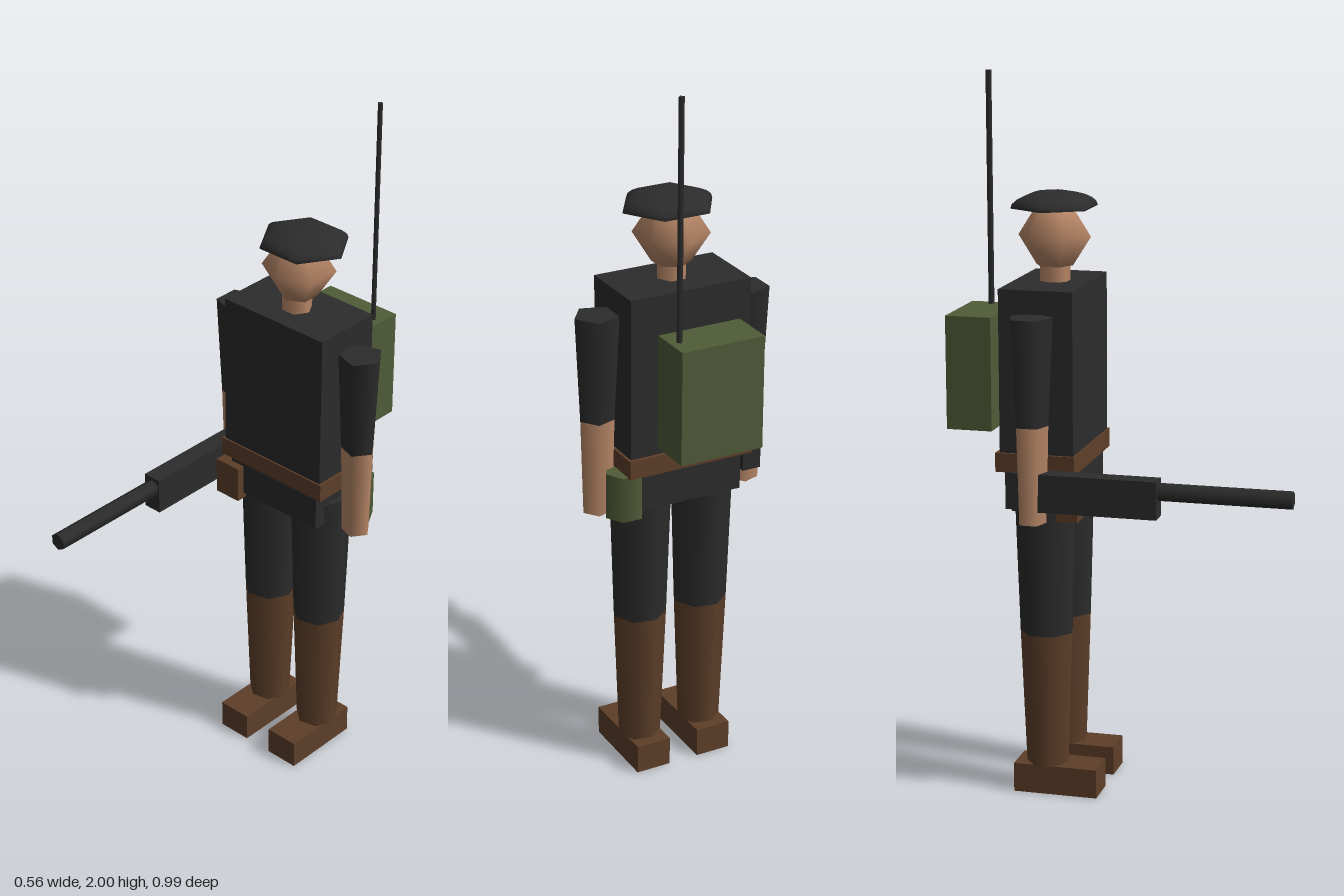
import * as THREE from 'three';

const mat = (name, color, extra = {}) => {
  const m = new THREE.MeshStandardMaterial({ color, ...extra });
  m.name = name;
  return m;
};

export function createModel() {
  const model = new THREE.Group();
  const dark = mat('darkCloth', 0x2c2c2c, { side: THREE.DoubleSide });
  const skin = mat('skin', 0xb98868);
  const brown = mat('leather', 0x5e3f29);
  const green = mat('canvasGreen', 0x505c38);

  const add = (name, geometry, material, x = 0, y = 0, z = 0) => {
    const mesh = new THREE.Mesh(geometry, material);
    mesh.name = name;
    mesh.position.set(x, y, z);
    model.add(mesh);
    return mesh;
  };
  // Box given by its limits on each axis
  const box = (name, material, [x0, x1], [y0, y1], [z0, z1]) =>
    add(name, new THREE.BoxGeometry(x1 - x0, y1 - y0, z1 - z0), material,
      (x0 + x1) / 2, (y0 + y1) / 2, (z0 + z1) / 2);
  // Upright tapered prism with one corner pointing to +x
  const limb = (name, material, sides, rTop, rBottom, [y0, y1], x, z) =>
    add(name, new THREE.CylinderGeometry(rTop, rBottom, y1 - y0, sides).rotateY(Math.PI / 2),
      material, x, (y0 + y1) / 2, z);

  // Body
  box('torso', dark, [-0.185, 0.17], [0.95, 1.44], [-0.327, -0.12]);
  box('pelvis', dark, [-0.168, 0.152], [0.827, 0.95], [-0.318, -0.128]);
  box('belt', brown, [-0.193, 0.178], [0.937, 0.99], [-0.338, -0.115]);

  // Head, neck and cap
  limb('neck', skin, 6, 0.043, 0.043, [1.43, 1.49], -0.007, -0.218);
  const headProfile = [[0, -0.093], [0.052, -0.08], [0.103, 0], [0.052, 0.08], [0, 0.093]]
    .map(([r, y]) => new THREE.Vector2(r, y));
  add('head', new THREE.LatheGeometry(headProfile, 6), skin, -0.004, 1.563, -0.22);
  const cap = new THREE.SphereGeometry(0.132, 6, 6, 0, Math.PI * 2, 0, Math.PI / 2);
  add('cap', cap.scale(1, 0.34, 0.92), dark, 0.009, 1.64, -0.224);

  // Arms
  for (const [side, x] of [['left', 0.219], ['right', -0.231]]) {
    limb(side + 'Sleeve', dark, 5, 0.062, 0.048, [1.08, 1.375], x, -0.225);
    limb(side + 'Forearm', skin, 5, 0.048, 0.041, [0.81, 1.08], x, -0.225);
  }

  // Legs
  for (const [side, x] of [['left', 0.09], ['right', -0.1]]) {
    limb(side + 'Trouser', dark, 7, 0.089, 0.076, [0.467, 0.89], x, -0.22);
    limb(side + 'BootShaft', brown, 7, 0.076, 0.061, [0.08, 0.467], x, -0.22);
    const footX = x - 0.003;
    box(side + 'Foot', brown, [footX - 0.051, footX + 0.051], [0, 0.083], [-0.307, -0.067]);
  }

  // Belt pouch and canteen
  box('pouch', brown, [-0.205, -0.122], [0.81, 0.917], [-0.163, -0.104]);
  limb('canteen', green, 6, 0.055, 0.055, [0.81, 0.94], 0.165, -0.28);

  // Backpack with aerial
  box('backpack', green, [-0.128, 0.113], [1.033, 1.35], [-0.497, -0.368]);
  limb('aerial', dark, 4, 0.0085, 0.0085, [1.35, 2], 0.086, -0.432);

  // Gun
  box('gunBody', dark, [-0.26, -0.205], [0.848, 0.953], [-0.27, 0.13]);
  add('gunBarrel', new THREE.CylinderGeometry(0.025, 0.025, 0.365, 6).rotateX(Math.PI / 2),
    dark, -0.23, 0.92, 0.3125);

  return model;
}
